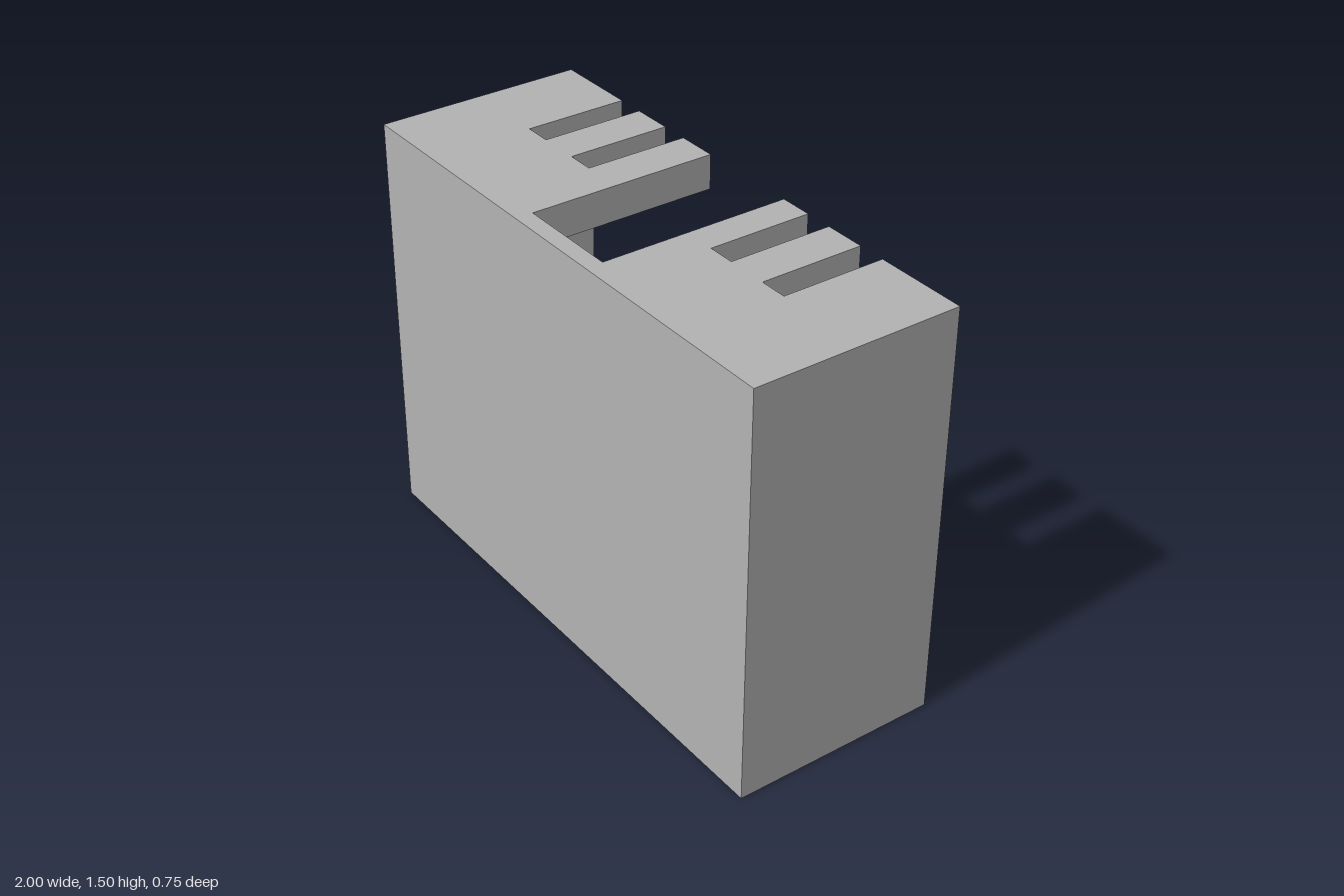
import * as THREE from 'three';

const W = 1, D = 0.375, T = 0.125;      // half width, half depth, wall thickness
const NOTCH = 0.19, NOTCH_Z = 0.3125;   // half width and front end of the top notch

// Cuts as [x start, x end, z end], each running in from the open back edge
const slot = (i) => [-0.69 + i * 0.25, -0.59 + i * 0.25, 0];
const bottomCuts = [0, 1, 2, 3, 4, 5].map(slot);
const topCuts = [slot(0), slot(1), [-NOTCH, NOTCH, NOTCH_Z], slot(4), slot(5)];

// Panel outline seen from above (shape y = -z), with cuts along the back edge
function panel(cuts) {
  const pts = [[W, -D], [W, D]];
  for (const [x0, x1, z] of [...cuts].reverse()) {
    pts.push([x1, D], [x1, -z], [x0, -z], [x0, D]);
  }
  pts.push([-W, D], [-W, -D]);
  return pts;
}

// U-shaped wall outline, optionally with a recess in the front wall
function walls(recessed) {
  const xi = W - T, zi = D - T;
  const pts = [[W, -D], [W, D], [xi, D], [xi, -zi]];
  if (recessed) pts.push([NOTCH, -zi], [NOTCH, -NOTCH_Z], [-NOTCH, -NOTCH_Z], [-NOTCH, -zi]);
  pts.push([-xi, -zi], [-xi, D], [-W, D], [-W, -D]);
  return pts;
}

export function createModel() {
  const group = new THREE.Group();
  group.name = 'slottedEnclosure';
  const grey = new THREE.MeshStandardMaterial({ color: 0xb3b3b3 });
  grey.name = 'grey';

  // Extrude an outline upwards between two heights
  const addLayer = (name, outline, y0, y1) => {
    const shape = new THREE.Shape(outline.map(([x, y]) => new THREE.Vector2(x, y)));
    const geo = new THREE.ExtrudeGeometry(shape, { depth: y1 - y0, bevelEnabled: false });
    geo.rotateX(-Math.PI / 2).translate(0, y0, 0);
    const mesh = new THREE.Mesh(geo, grey);
    mesh.name = name;
    group.add(mesh);
  };

  addLayer('slottedBase', panel(bottomCuts), 0, T);
  addLayer('walls', walls(false), T, 1.3125);
  addLayer('recessedWalls', walls(true), 1.3125, 1.5 - T);
  addLayer('slottedTop', panel(topCuts), 1.5 - T, 1.5);
  return group;
}
